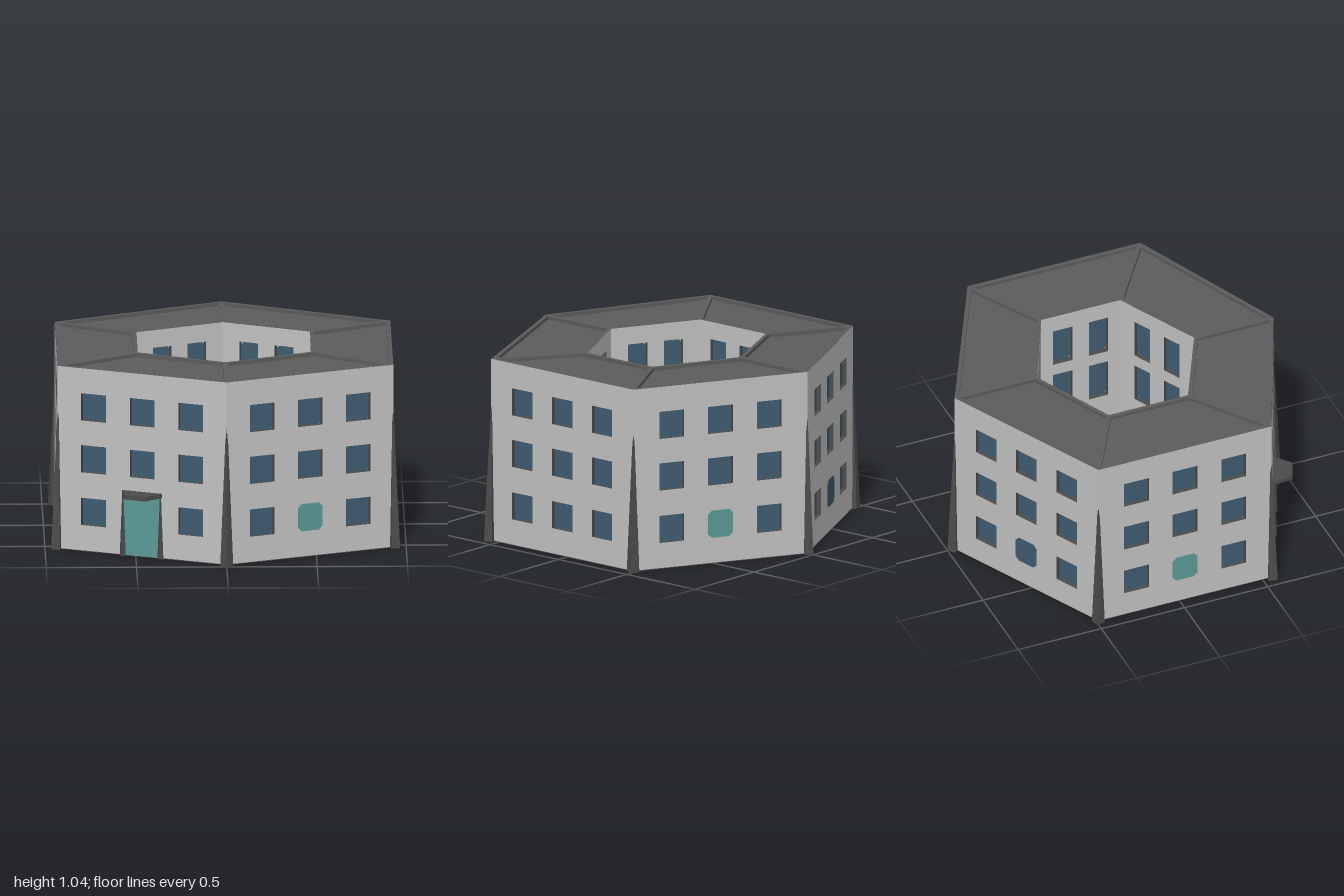
import * as THREE from 'three';

const mat = (name, color, extra = {}) => {
  const m = new THREE.MeshStandardMaterial({ color, ...extra });
  m.name = name;
  return m;
};

// Plan outlines as [x, z], going round the hexagon
const OUTER = [[0, 0.96], [0.93, 0.553], [0.93, -0.488], [0, -0.96], [-0.93, -0.488], [-0.93, 0.553]];
const INNER = [[0, 0.48], [0.48, 0.24], [0.48, -0.235], [0, -0.465], [-0.48, -0.235], [-0.48, 0.24]];
const ROOF_Y = 1.018, TOP_Y = 1.04, WALL_T = 0.035;

const scaled = (pts, s) => pts.map(([x, z]) => [x * s, z * s]);
const lerp2 = (a, b, t) => [a[0] + (b[0] - a[0]) * t, a[1] + (b[1] - a[1]) * t];

export function createModel() {
  const wall = mat('wallGrey', 0xc2c2c2);
  const roof = mat('roofGrey', 0x5c5c5c);
  const trim = mat('trimCharcoal', 0x4c4c4c);
  const glass = mat('glassBlue', 0x3f5c70);
  const teal = mat('doorTeal', 0x5a9a96);

  const model = new THREE.Group();
  model.name = 'hexagonalBuilding';

  const add = (parent, name, geometry, material) => {
    const mesh = new THREE.Mesh(geometry, material);
    mesh.name = name;
    parent.add(mesh);
    return mesh;
  };

  // Vertical prism over a plan outline with holes
  const toVecs = pts => pts.map(([x, z]) => new THREE.Vector2(x, -z));
  const prism = (pts, holes, y0, y1) => {
    const shape = new THREE.Shape(toVecs(pts));
    shape.holes = holes.map(h => new THREE.Path(toVecs(h)));
    return new THREE.ExtrudeGeometry(shape, { depth: y1 - y0, bevelEnabled: false })
      .rotateX(-Math.PI / 2).translate(0, y0, 0);
  };

  // Upright pane with cut corners
  const pane = (w, h, c, depth) => {
    const a = w / 2, b = h / 2;
    const pts = [[a - c, -b], [a, c - b], [a, b - c], [a - c, b], [c - a, b], [-a, b - c], [-a, c - b], [c - a, -b]];
    return new THREE.ExtrudeGeometry(new THREE.Shape(pts.map(p => new THREE.Vector2(...p))), { depth, bevelEnabled: false });
  };

  // Wall panel with recessed windows; local z points out of the wall
  const addWall = (name, a, b, sign, windows, w, h, cut) => {
    const dx = b[0] - a[0], dz = b[1] - a[1], len = Math.hypot(dx, dz);
    const group = new THREE.Group();
    group.name = name;
    group.position.set((a[0] + b[0]) / 2, 0, (a[1] + b[1]) / 2);
    group.rotation.y = Math.atan2(-dz * sign, dx * sign);
    model.add(group);

    const rect = (Type, x0, x1, y0, y1) =>
      new Type([[x0, y0], [x1, y0], [x1, y1], [x0, y1]].map(p => new THREE.Vector2(...p)));
    const panel = rect(THREE.Shape, -len / 2, len / 2, 0.004, ROOF_Y);
    windows.forEach(([u, y]) => {
      panel.holes.push(rect(THREE.Path, u - w / 2, u + w / 2, y - h / 2, y + h / 2));
      add(group, 'windowPane', pane(w, h, cut, 0.008), glass).position.set(u, y, -0.032);
    });
    add(group, 'wallPanel', new THREE.ExtrudeGeometry(panel, { depth: WALL_T, bevelEnabled: false })
      .translate(0, 0, -WALL_T), [wall, trim]);
    // Thin band hiding the side of the roof curb
    add(group, 'parapetFace', new THREE.PlaneGeometry(len, TOP_Y - ROOF_Y), wall)
      .position.y = (TOP_Y + ROOF_Y) / 2;
    return group;
  };

  // Structural core, base and roof
  add(model, 'core', prism(scaled(OUTER, 0.963), [scaled(INNER, 1.075)], 0.004, 1.01), wall);
  add(model, 'base', prism(scaled(OUTER, 0.999), [scaled(INNER, 1.001)], 0, 0.004), roof);
  add(model, 'roofDeck', prism(scaled(OUTER, 0.997), [scaled(INNER, 1.003)], 1.01, 1.02), roof);

  // Raised curb round six sunken roof fields
  const fields = OUTER.map((a, i) => {
    const j = (i + 1) % 6;
    return [[0.014, 0.055], [0.986, 0.055], [0.97, 0.95], [0.03, 0.95]].map(([u, v]) =>
      lerp2(lerp2(a, OUTER[j], u), lerp2(INNER[i], INNER[j], u), v));
  });
  add(model, 'roofCurb', prism(scaled(OUTER, 0.998), [scaled(INNER, 1.002), ...fields], 1.016, TOP_Y), roof);

  // Outer walls: what fills the middle of each ground floor
  const ground = [teal, null, teal, glass, teal, 'door'];
  const names = ['frontLeftWall', 'leftWall', 'backLeftWall', 'backRightWall', 'rightWall', 'frontRightWall'];
  OUTER.forEach((a, i) => {
    const windows = [];
    for (const y of [0.225, 0.525, 0.82])
      for (const u of [-0.292, 0, 0.292])
        if (u !== 0 || y > 0.3 || !ground[i]) windows.push([u, y]);
    const group = addWall(names[i], a, OUTER[(i + 1) % 6], 1, windows, 0.148, 0.155, 0.01);

    if (ground[i] === 'door') addEntrance(group);
    else if (ground[i]) add(group, 'flushPanel', pane(0.148, 0.155, 0.022, 0.006), ground[i]).position.set(0, 0.225, -0.002);
  });

  // Courtyard walls with two upper rows of tall windows
  INNER.forEach((a, i) => {
    const windows = [0.525, 0.825].flatMap(y => [[-0.107, y], [0.107, y]]);
    addWall('courtyardWall', a, INNER[(i + 1) % 6], -1, windows, 0.115, 0.23, 0.022);
  });

  // Tapered spikes standing on the outer corners
  const spike = (r, h) => {
    const g = new THREE.CylinderGeometry(0.002, r, h, 4).toNonIndexed();
    g.computeVertexNormals();
    return g;
  };
  OUTER.forEach(([x, z]) => {
    const m = add(model, 'cornerButtress', spike(0.036, 0.85), trim);
    m.position.set(x, 0.425, z);
    m.rotation.set(-0.014, Math.atan2(x, z), 0, 'YXZ');
  });

  // Entrance: door leaf, slim posts and a tapering canopy
  function addEntrance(group) {
    add(group, 'door', new THREE.BoxGeometry(0.222, 0.342, 0.009), teal).position.set(0, 0.175, 0.003);
    for (const s of [-1, 1]) {
      const post = new THREE.CylinderGeometry(0.004, 0.018, 0.345, 4).toNonIndexed();
      post.computeVertexNormals();
      add(group, 'doorPost', post, trim).position.set(s * 0.113, 0.1725, 0.008);
    }
    add(group, 'canopy', prism([[-0.12, -0.01], [-0.12, 0], [-0.0625, 0.11], [0.0625, 0.11], [0.12, 0], [0.12, -0.01]],
      [], 0.345, 0.37), trim);
  }

  return model;
}
